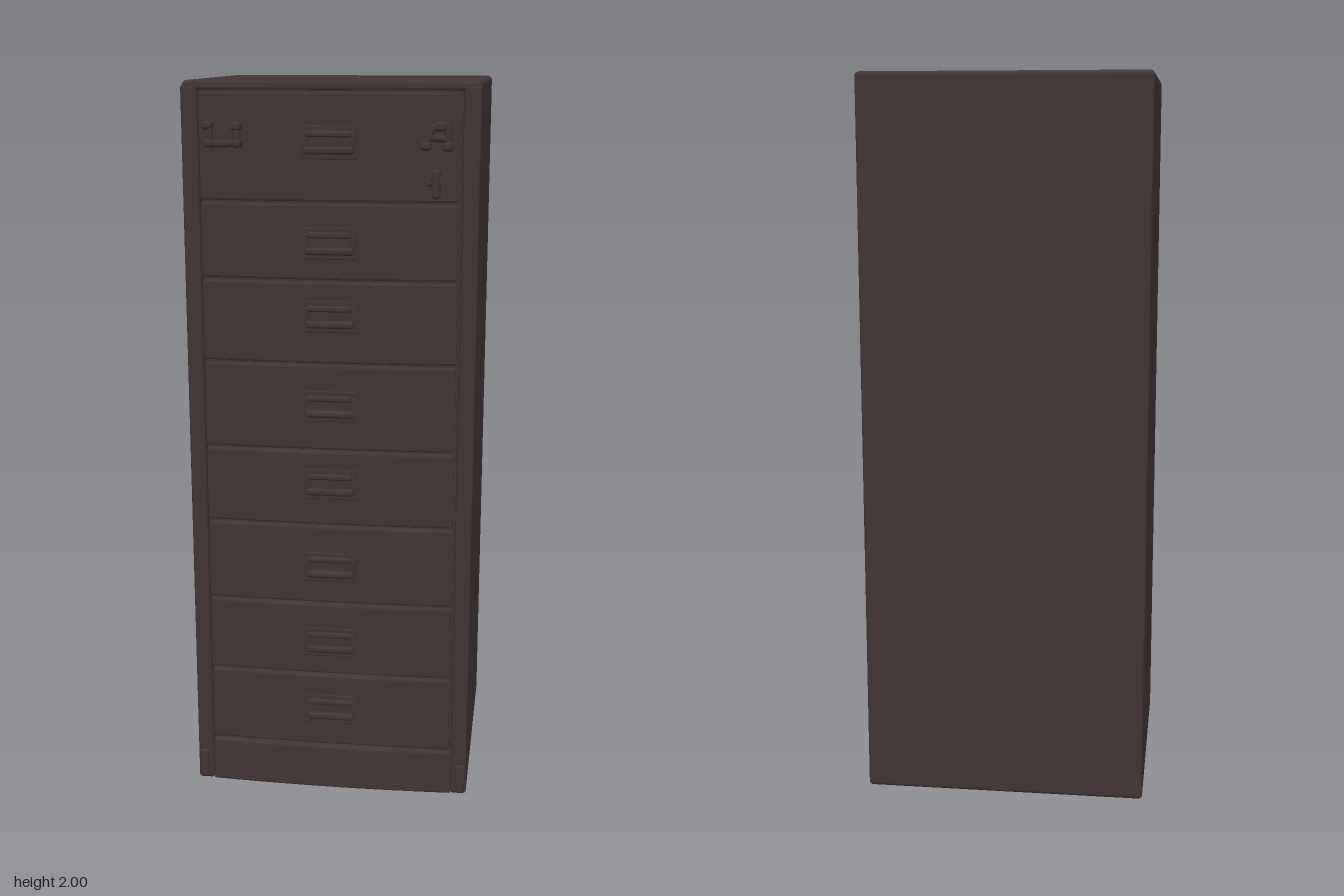
import * as THREE from 'three';
import { RoundedBoxGeometry } from 'three/addons/geometries/RoundedBoxGeometry.js';

const steel = new THREE.MeshStandardMaterial({ color: 0x413535 });
steel.name = 'dark brown enamel';

function add(parent, name, geometry, x = 0, y = 0, z = 0) {
  const mesh = new THREE.Mesh(geometry, steel);
  mesh.name = name;
  mesh.position.set(x, y, z);
  parent.add(mesh);
  return mesh;
}

const block = (w, h, d, r) => new RoundedBoxGeometry(w, h, d, 3, r);

// Panel with a gently bowed front, standing from y = 0 to y = height
function bowedPanel(x0, x1, height, sideZ, middleZ) {
  const s = new THREE.Shape();
  s.moveTo(x0, -0.29);
  s.lineTo(x1, -0.29);
  s.lineTo(x1, -sideZ);
  s.quadraticCurveTo((x0 + x1) / 2, -(2 * middleZ - sideZ), x0, -sideZ);
  s.closePath();
  const b = 0.006;
  const g = new THREE.ExtrudeGeometry(s, {
    depth: height - 2 * b, bevelEnabled: true, bevelSize: b, bevelThickness: b,
    bevelOffset: -b, bevelSegments: 2, curveSegments: 16,
  });
  g.rotateX(-Math.PI / 2);
  g.translate(0, b, 0);
  return g;
}

// Rounded wire bent through a few points
function wire(points, radius) {
  const path = new THREE.CurvePath();
  const p = points.map((a) => new THREE.Vector3(...a));
  for (let i = 1; i < p.length; i++) path.add(new THREE.LineCurve3(p[i - 1], p[i]));
  return new THREE.TubeGeometry(path, (p.length - 1) * 8, radius, 8, false);
}

// Recess frame with a label slot above and a finger pull below
function makeHandle() {
  const g = new THREE.Group();
  g.name = 'handle';
  add(g, 'handlePlate', block(0.15, 0.085, 0.008, 0.003), 0, 0, 0.34);
  add(g, 'labelHolder', block(0.12, 0.016, 0.014, 0.006), 0, 0.022, 0.346);
  add(g, 'fingerPull', block(0.13, 0.02, 0.018, 0.008), 0, -0.02, 0.347);
  for (const x of [-0.062, 0.062]) {
    add(g, 'handleEnd', block(0.012, 0.05, 0.01, 0.004), x, 0, 0.343);
  }
  return g;
}

export function createModel() {
  const model = new THREE.Group();
  model.name = 'drawerCabinet';

  // Carcass and front frame
  add(model, 'carcass', block(0.78, 1.99, 0.695, 0.012), 0, 1.005, -0.0275);
  for (const side of [-1, 1]) {
    add(model, 'sideStile', block(0.046, 1.98, 0.1, 0.01), side * 0.367, 1.0, 0.29);
    add(model, 'cornerFoot', block(0.03, 0.09, 0.03, 0.01), side * 0.372, 0.058, 0.331);
  }
  const rail = add(model, 'topRail', bowedPanel(-0.38, 0.38, 0.022, 0.338, 0.344));
  rail.position.y = 1.977;
  const plinth = add(model, 'plinth', bowedPanel(-0.345, 0.345, 0.13, 0.332, 0.342));
  plinth.position.y = 0.005;

  // Stack of drawers: seams from bottom to top, and handle heights
  const seams = [0.14, 0.36, 0.575, 0.805, 1.02, 1.26, 1.485, 1.69, 1.975];
  const handles = [0.255, 0.46, 0.685, 0.925, 1.145, 1.39, 1.585, 1.845];
  handles.forEach((y, i) => {
    const drawer = new THREE.Group();
    drawer.name = 'drawer';
    const height = seams[i + 1] - seams[i] - 0.007;
    add(drawer, 'drawerFront', bowedPanel(-0.343, 0.337, height, 0.331, 0.342), 0, seams[i] + 0.0035, 0);
    const handle = makeHandle();
    handle.position.y = y;
    drawer.add(handle);
    model.add(drawer);
  });

  // Bent latch on the left of the top drawer front
  const z = 0.358;
  add(model, 'wireLatch', wire([
    [-0.31, 1.885, z], [-0.31, 1.84, z], [-0.238, 1.843, z], [-0.238, 1.885, z],
  ], 0.01));
  for (const [x, y] of [[-0.315, 1.888], [-0.312, 1.842], [-0.238, 1.842], [-0.24, 1.885]]) {
    add(model, 'latchStud', block(0.026, 0.022, 0.042, 0.009), x, y, 0.35);
  }

  // Hinged clasp and small catch on the other side
  add(model, 'claspLoop', wire([
    [0.25, 1.84, z], [0.268, 1.885, z], [0.308, 1.89, z], [0.308, 1.84, z],
  ], 0.01));
  add(model, 'claspBar', wire([[0.262, 1.86, z], [0.308, 1.856, z]], 0.009));
  for (const [x, y] of [[0.252, 1.84], [0.308, 1.838], [0.292, 1.888]]) {
    add(model, 'claspStud', block(0.028, 0.024, 0.042, 0.009), x, y, 0.35);
  }
  add(model, 'catchArm', wire([
    [0.275, 1.775, 0.35], [0.256, 1.745, 0.35], [0.29, 1.748, 0.35],
  ], 0.01));
  add(model, 'catchPin', block(0.022, 0.075, 0.034, 0.009), 0.278, 1.742, 0.346);

  return model;
}
